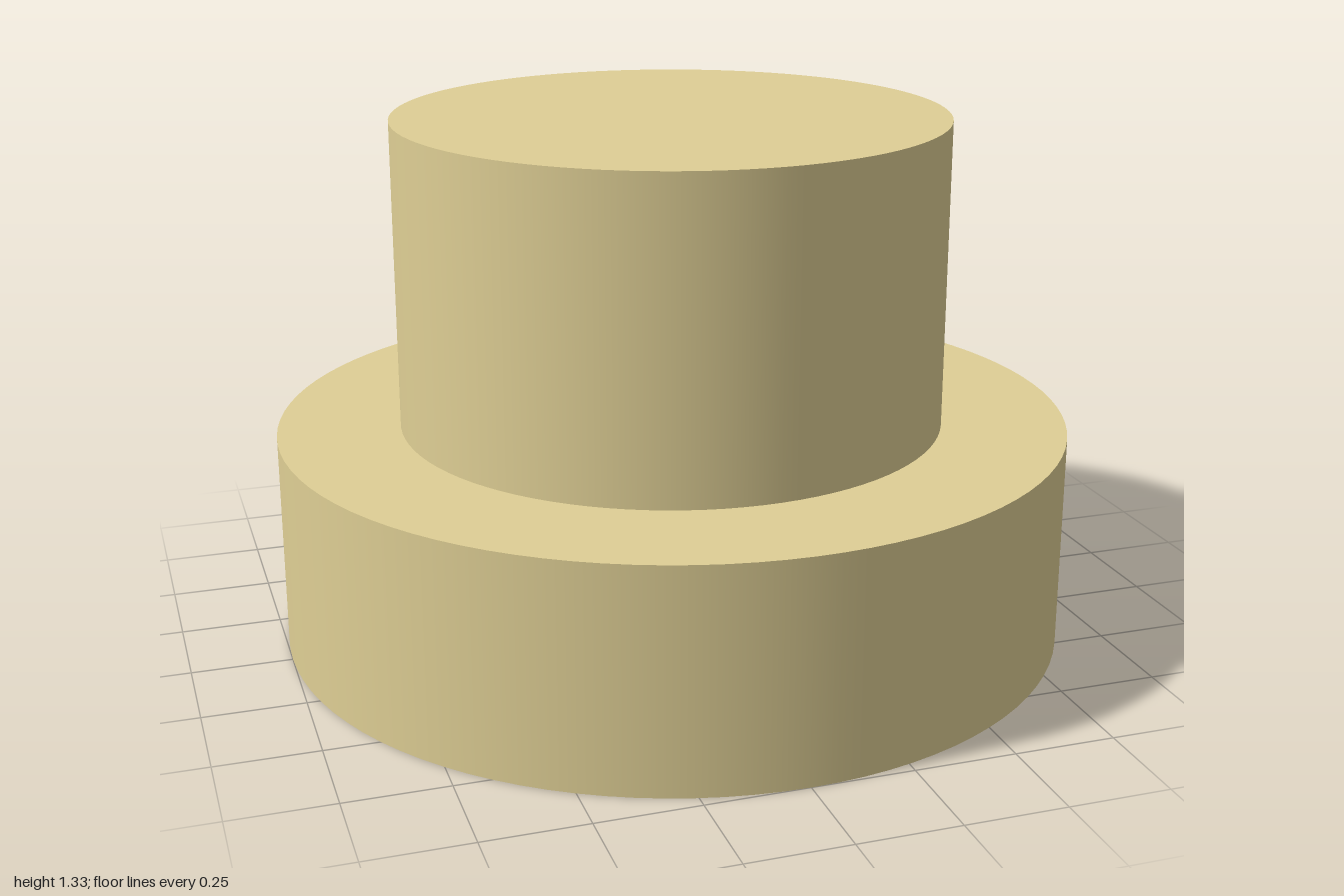
import * as THREE from 'three';

const SEGMENTS = 96;

export function createModel() {
  const model = new THREE.Group();
  model.name = 'steppedCylinder';
  const material = new THREE.MeshStandardMaterial({ color: 0xdfcf95 });

  // A solid upright disc between two heights
  function addDisc(name, radius, bottom, top, x = 0, z = 0) {
    const geometry = new THREE.CylinderGeometry(radius, radius, top - bottom, SEGMENTS);
    const mesh = new THREE.Mesh(geometry, material);
    mesh.name = name;
    mesh.position.set(x, (bottom + top) / 2, z);
    model.add(mesh);
  }

  // Wide base flange, with the narrower boss standing on it
  addDisc('baseFlange', 1, 0, 0.55);
  addDisc('upperBoss', 0.69, 0.55, 1.325, -0.002, -0.004);

  return model;
}
